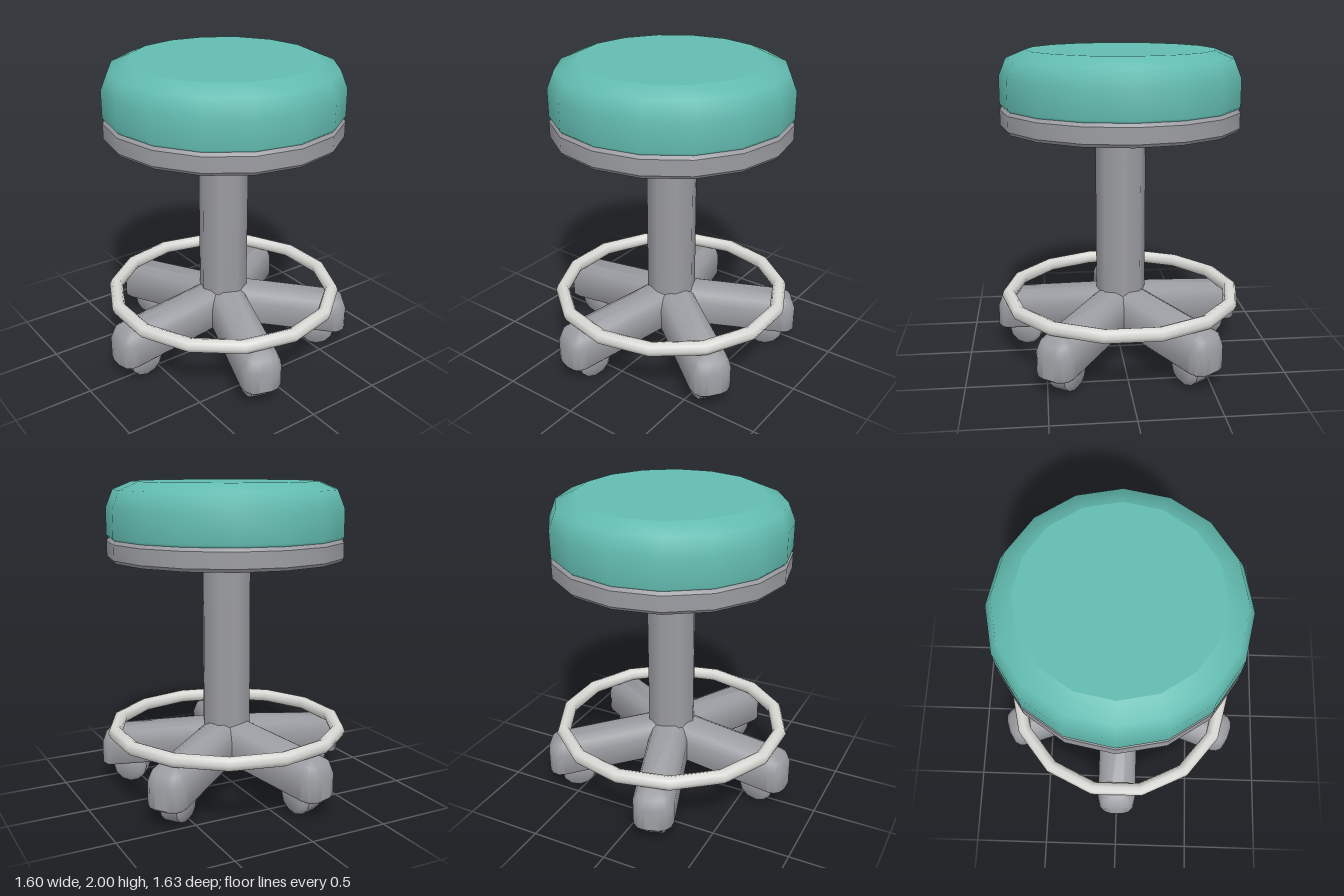
import * as THREE from 'three';
import { toCreasedNormals } from 'three/addons/utils/BufferGeometryUtils.js';

const makeMaterial = (name, color) => {
  const m = new THREE.MeshStandardMaterial({ color });
  m.name = name;
  return m;
};

const lathe = (points, sides) =>
  new THREE.LatheGeometry(points.map(([r, y]) => new THREE.Vector2(r, y)), sides);

// Plan outline of a leg along +x with a rounded tip, shrunk by an inset
function legOutline(inset) {
  const w = 0.13 - inset, L = 0.84 - inset, r = Math.max(0.09 - inset, 0.008);
  const pts = [[0, -w]];
  for (const side of [-1, 1]) {
    for (let i = 0; i <= 3; i++) {
      const a = side * (side < 0 ? 3 - i : i) * Math.PI / 6;
      pts.push([L - r + r * Math.cos(a), side * (w - r) + r * Math.sin(a)]);
    }
  }
  pts.push([0, w]);
  return pts;
}

// Leg stacked from outlines: lower bevel, wall, rounded top; rises to the hub
function legGeometry() {
  const layers = [[0.012, 0.12], [0, 0.135], [0, 0.275], [0.025, 0.335], [0.08, 0.365]];
  const pos = [], index = [];
  for (const [inset, y] of layers) {
    for (const [x, z] of legOutline(inset)) pos.push(x, y + 0.13 * (0.84 - x), z);
  }
  const n = legOutline(0).length, last = (layers.length - 1) * n;
  for (let l = 0; l < layers.length - 1; l++) {
    for (let i = 0; i < n; i++) {
      const a = l * n + i, b = l * n + (i + 1) % n;
      index.push(a, a + n, b, b, a + n, b + n);
    }
  }
  for (let i = 1; i < n - 1; i++) {
    index.push(0, i, i + 1);
    index.push(last, last + i + 1, last + i);
  }
  const g = new THREE.BufferGeometry();
  g.setAttribute('position', new THREE.Float32BufferAttribute(pos, 3));
  g.setIndex(index);
  return toCreasedNormals(g, 0.72);
}

export function createModel() {
  const model = new THREE.Group();
  model.name = 'stool';
  const teal = makeMaterial('teal upholstery', 0x62bbb0);
  const grey = makeMaterial('grey metal', 0x9b9ca1);
  const pale = makeMaterial('pale ring', 0xd9d9d5);

  const stool = new THREE.Group();
  stool.name = 'stoolBody';
  stool.position.x = 0.04;
  model.add(stool);

  const add = (parent, name, geometry, material, x = 0, y = 0, z = 0) => {
    const mesh = new THREE.Mesh(geometry, material);
    mesh.name = name;
    mesh.position.set(x, y, z);
    parent.add(mesh);
    return mesh;
  };

  // Seat
  add(stool, 'cushion', lathe([[0.73, 1.65], [0.75, 1.67], [0.75, 1.84], [0.705, 1.95], [0.585, 2]], 16), teal);
  const top = new THREE.CircleGeometry(0.585, 16).rotateX(-Math.PI / 2);
  add(stool, 'cushionTop', top, teal, 0, 2, 0);
  const plate = lathe([[0, 1.52], [0.735, 1.52], [0.75, 1.54], [0.75, 1.635], [0.735, 1.655], [0, 1.655]], 16);
  add(stool, 'seatPlate', toCreasedNormals(plate, 0.5), grey);

  // Column
  add(stool, 'column', new THREE.CylinderGeometry(0.16, 0.16, 1.22, 8, 1, true), grey, 0, 0.92, 0);

  // Foot ring
  const ring = new THREE.TorusGeometry(0.735, 0.045, 8, 14).rotateZ(Math.PI / 2).rotateX(Math.PI / 2);
  add(stool, 'footRing', ring, pale, 0, 0.415, 0);

  // Five legs with casters
  const leg = legGeometry();
  const wheel = toCreasedNormals(
    lathe([[0, -0.08], [0.085, -0.08], [0.113, -0.055], [0.113, 0.055], [0.085, 0.08], [0, 0.08]], 12)
      .rotateX(Math.PI / 2), 0.75);
  for (let i = 0; i < 5; i++) {
    const arm = new THREE.Group();
    arm.name = 'legWithCaster';
    arm.rotation.y = Math.PI + i * Math.PI * 2 / 5;
    add(arm, 'leg', leg, grey);
    add(arm, 'casterWheel', wheel, grey, 0.65, 0.113, 0);
    stool.add(arm);
  }
  return model;
}
